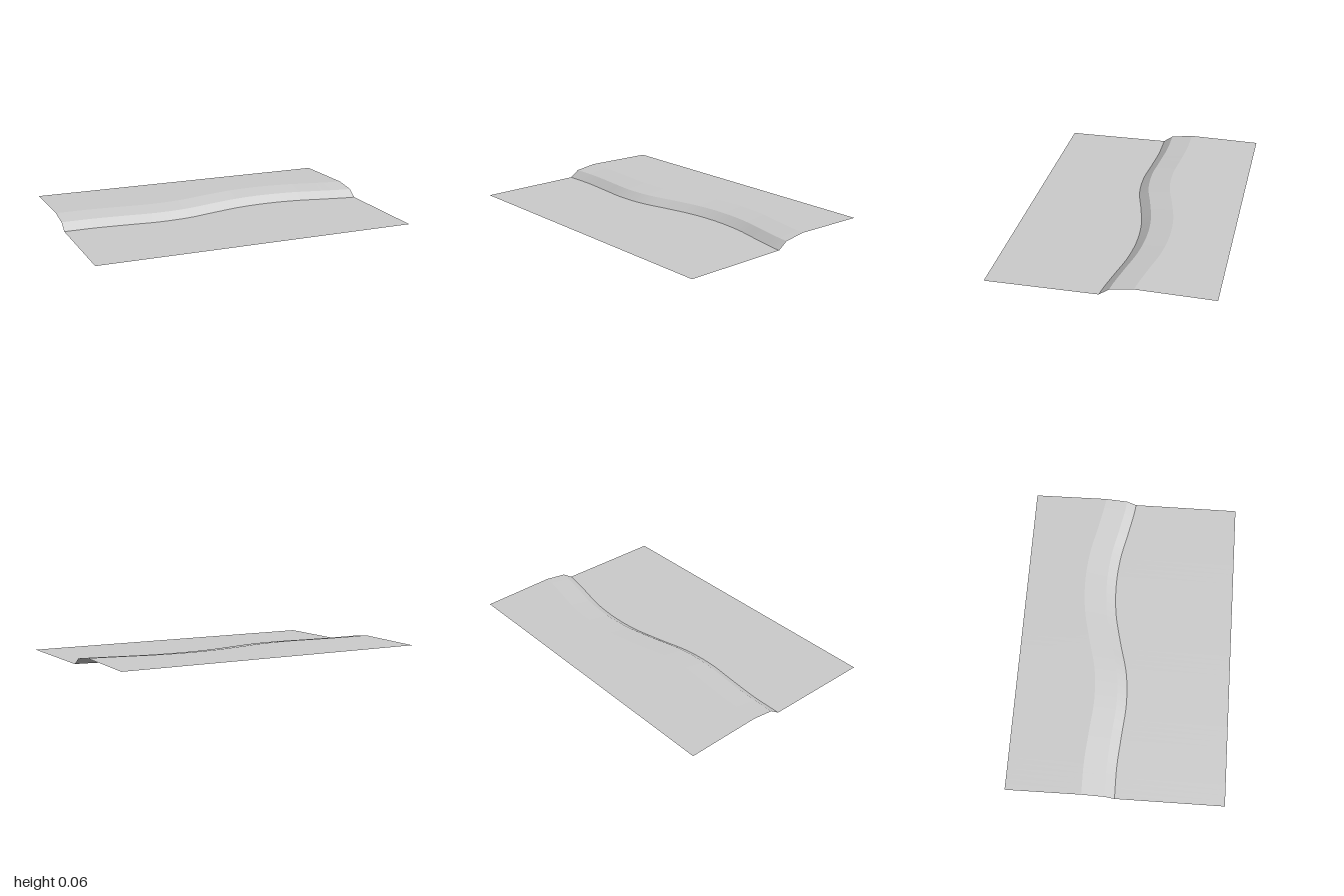
import * as THREE from 'three';

// Wandering foot line of the bank: z at even steps from x = -1 to x = 1
const footZ = [-0.003, -0.003, 0.012, 0.028, 0.014, -0.036, -0.08, -0.094, -0.079, -0.038, -0.003];
const footLine = new THREE.SplineCurve(footZ.map((z, i) => new THREE.Vector2(-1 + i * 0.2, z)));
const foot = (x) => footLine.getPoint((x + 1) / 2).y;

// Lines across the terrain from front to back, each with its height
const lines = [
  { z: () => 0.667, y: 0 },
  { z: (x) => foot(x), y: 0 },
  { z: (x) => foot(x) - 0.06, y: 0.042 },
  { z: (x) => foot(x) - 0.2, y: 0.061 },
  { z: () => -0.667, y: 0.051 },
];
const names = ['lowerGround', 'bankFace', 'bankShoulder', 'upperGround'];

// Strip of surface between two neighbouring lines
function strip(front, back) {
  const geometry = new THREE.PlaneGeometry(2, 1, 60, 1);
  const p = geometry.attributes.position;
  for (let i = 0; i < p.count; i++) {
    const x = p.getX(i);
    const line = p.getY(i) > 0 ? back : front;
    p.setXYZ(i, x, line.y, line.z(x));
  }
  geometry.computeVertexNormals();
  return geometry;
}

export function createModel() {
  const group = new THREE.Group();
  group.name = 'terrainStep';
  const ground = new THREE.MeshStandardMaterial({ color: 0xcccccc, side: THREE.DoubleSide });
  ground.name = 'groundGrey';

  names.forEach((name, i) => {
    const mesh = new THREE.Mesh(strip(lines[i], lines[i + 1]), ground);
    mesh.name = name;
    group.add(mesh);
  });
  return group;
}
